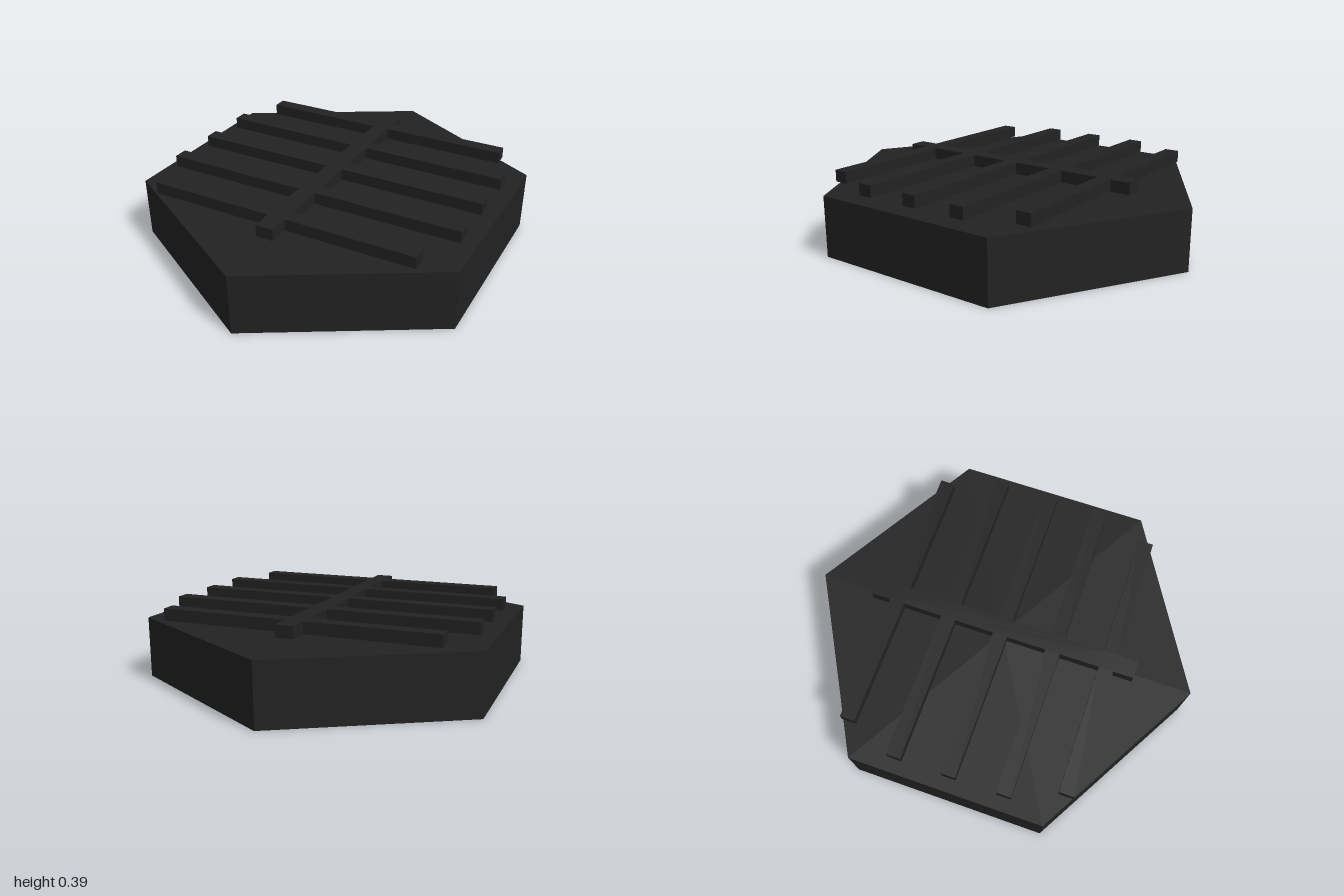
import * as THREE from 'three';

export function createModel() {
  const model = new THREE.Group();
  const charcoal = new THREE.MeshStandardMaterial({ color: 0x222222, flatShading: true });
  charcoal.name = 'charcoal';

  // Hexagonal slab with its points at the front and back
  const baseHeight = 0.31;
  const base = new THREE.Mesh(new THREE.CylinderGeometry(1, 1, baseHeight, 6), charcoal);
  base.name = 'hexBase';
  base.position.y = baseHeight / 2;
  model.add(base);

  // Grate outline: a central spine with five cross bars, traced up one side then mirrored
  const spine = 0.045, halfBar = 0.0375, spineEnd = 0.7;
  const bars = [[-0.56, 0.7], [-0.28, 0.8], [0, 0.8], [0.28, 0.8], [0.56, 0.7]];
  const side = [[spine, -spineEnd]];
  for (const [z, reach] of bars) {
    side.push([spine, z - halfBar], [reach, z - halfBar], [reach, z + halfBar], [spine, z + halfBar]);
  }
  side.push([spine, spineEnd]);
  const outline = [...side, ...side.map(([x, z]) => [-x, z]).reverse()];
  const shape = new THREE.Shape(outline.map(([x, z]) => new THREE.Vector2(x, z)));

  // The grate floats just above the slab
  const grateGeometry = new THREE.ExtrudeGeometry(shape, { depth: 0.06, bevelEnabled: false });
  grateGeometry.rotateX(-Math.PI / 2);
  const grate = new THREE.Mesh(grateGeometry, charcoal);
  grate.name = 'grate';
  grate.position.y = 0.33;
  model.add(grate);

  return model;
}
